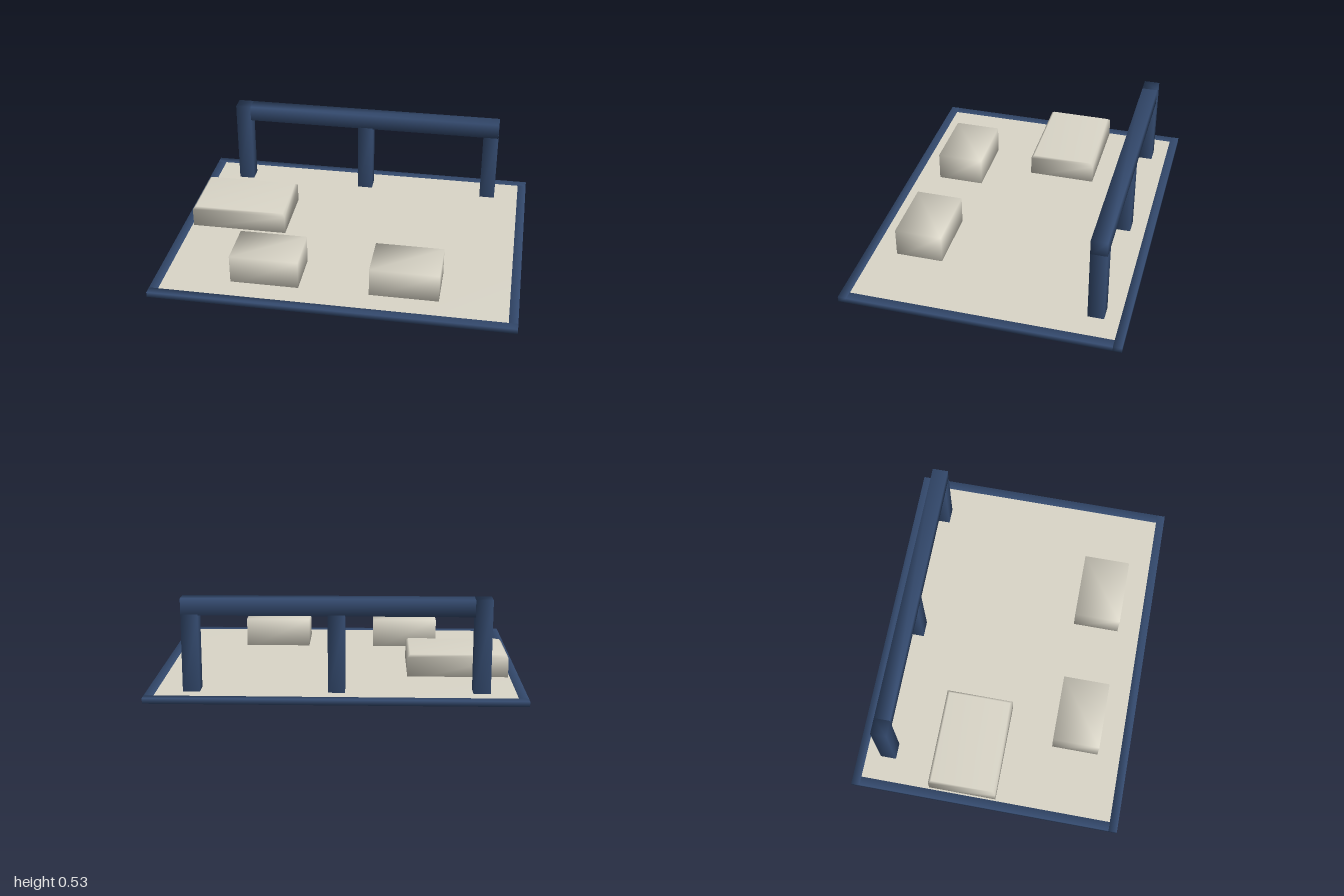
import * as THREE from 'three';
import { mergeVertices } from 'three/addons/utils/BufferGeometryUtils.js';

// Weld the corners so shading runs smoothly around the edges
function soften(geometry) {
  geometry.deleteAttribute('uv');
  geometry.deleteAttribute('normal');
  const welded = mergeVertices(geometry);
  welded.computeVertexNormals();
  return welded;
}

// Soft-shaded box given by its limits on each axis; chamfer trims the top edges
function softBox(name, material, [x0, x1], [y0, y1], [z0, z1], chamfer = 0) {
  const w = x1 - x0, h = y1 - y0, d = z1 - z0;
  const geometry = new THREE.BoxGeometry(w, h, d, 1, chamfer ? 2 : 1, 1);
  if (chamfer) {
    const p = geometry.attributes.position;
    for (let i = 0; i < p.count; i++) {
      const y = p.getY(i);
      if (y > h / 4) {
        p.setX(i, p.getX(i) - Math.sign(p.getX(i)) * chamfer);
        p.setZ(i, p.getZ(i) - Math.sign(p.getZ(i)) * chamfer);
      } else if (y > -h / 4) {
        p.setY(i, h / 2 - chamfer);
      }
    }
  }
  const mesh = new THREE.Mesh(soften(geometry), material);
  mesh.name = name;
  mesh.position.set((x0 + x1) / 2, (y0 + y1) / 2, (z0 + z1) / 2);
  return mesh;
}

export function createModel() {
  const model = new THREE.Group();
  model.name = 'platform';
  const navy = new THREE.MeshStandardMaterial({ color: 0x344a6e });
  navy.name = 'navy';
  const stone = new THREE.MeshStandardMaterial({ color: 0xdad6c8 });
  stone.name = 'stone';

  // Floor panel and its border
  model.add(softBox('floor', stone, [-0.96, 0.96], [0.02, 0.027], [-0.73, 0.73]));
  const border = new THREE.Group();
  border.name = 'border';
  border.add(
    softBox('frontEdge', navy, [-1, 1], [0, 0.03], [0.72, 0.768]),
    softBox('backEdge', navy, [-1, 1], [0, 0.03], [-0.768, -0.72]),
    softBox('rightEdge', navy, [-1, -0.95], [0, 0.03], [-0.72, 0.72]),
    softBox('leftEdge', navy, [0.95, 1], [0, 0.03], [-0.72, 0.72]),
  );
  model.add(border);

  // Blocks standing on the floor
  const blocks = new THREE.Group();
  blocks.name = 'blocks';
  blocks.add(
    softBox('lowBlock', stone, [-0.94, -0.385], [0.004, 0.15], [-0.325, 0.06], 0.015),
    softBox('frontRightBlock', stone, [-0.577, -0.197], [0.004, 0.19], [0.325, 0.59]),
    softBox('frontLeftBlock', stone, [0.193, 0.573], [0.004, 0.19], [0.325, 0.59]),
  );
  model.add(blocks);

  // Rail along the back: three posts and a beam
  const rail = new THREE.Group();
  rail.name = 'rail';
  const depth = [-0.637, -0.548];
  rail.add(
    softBox('rightPost', navy, [-0.812, -0.722], [0, 0.53], depth),
    softBox('middlePost', navy, [-0.048, 0.042], [0, 0.445], depth),
    softBox('leftPost', navy, [0.718, 0.808], [0, 0.445], depth),
    softBox('beam', navy, [-0.722, 0.808], [0.44, 0.53], depth),
  );
  model.add(rail);

  return model;
}
